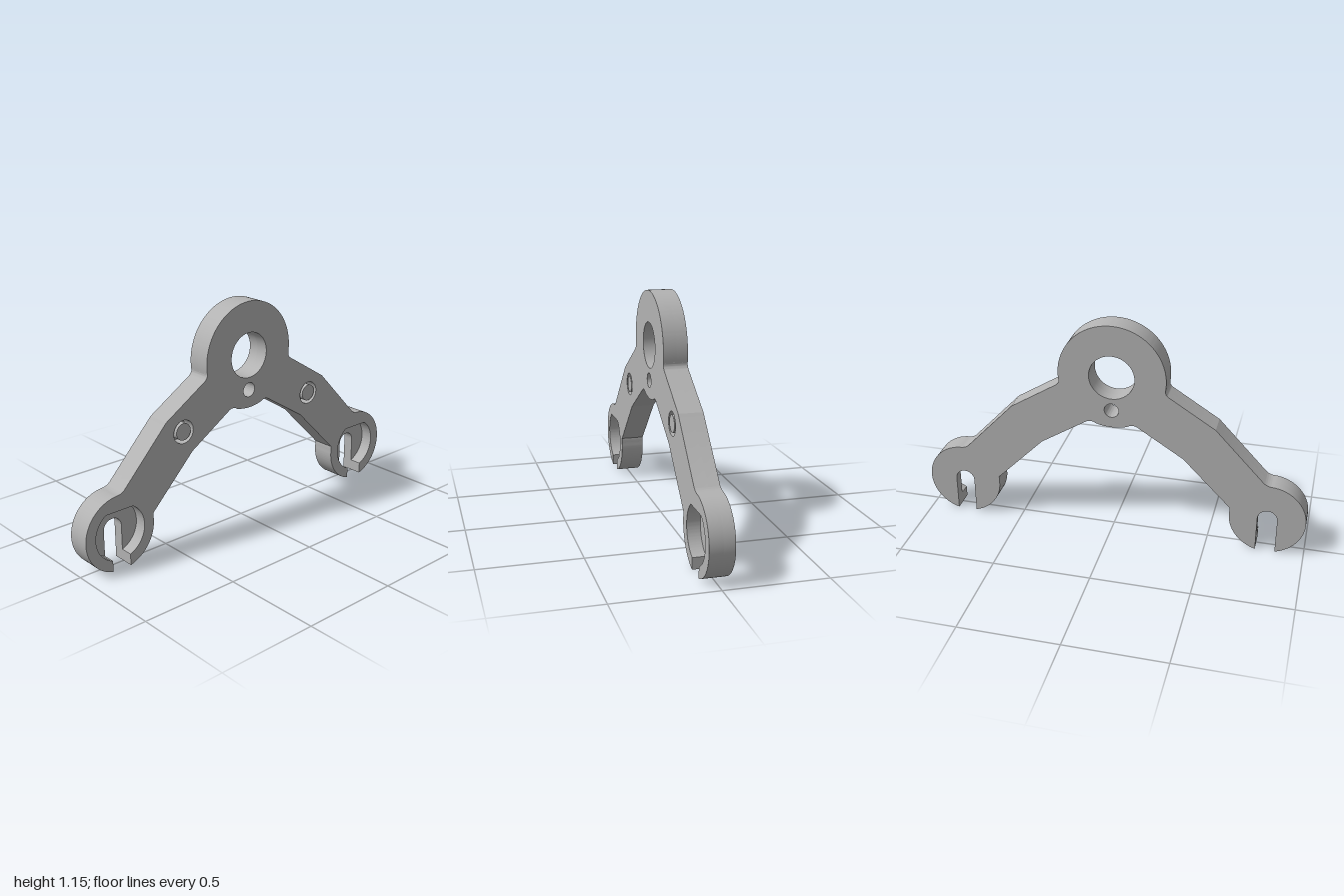
import * as THREE from 'three';
import { toCreasedNormals } from 'three/addons/utils/BufferGeometryUtils.js';

const HUB = { x: 0, y: 0.885, r: 0.272 };
const END = { x: 0.805, y: 0.19, r: 0.193 };
const SLOT = 0.05;                 // half width of the open slot
const POCKET = 0.138, POCKET_TOP = 0.305;
const BACK = -0.06, FLOOR = -0.005, FRONT = 0.06;
const rad = THREE.MathUtils.degToRad;

// Full mirrored outline; the end cutout is either the narrow slot or the wide pocket
function outline(withPocket) {
  const p = new THREE.Path();
  const slotAngle = Math.acos(SLOT / END.r);
  p.moveTo(0, HUB.y - HUB.r);
  p.absarc(HUB.x, HUB.y, HUB.r, rad(-90), rad(-73), false);
  p.quadraticCurveTo(0.107, 0.642, 0.13, 0.629);
  p.lineTo(0.367, 0.48);
  p.lineTo(0.613, 0.231);
  p.quadraticCurveTo(0.612, 0.222, 0.6127, 0.207);
  p.absarc(END.x, END.y, END.r, rad(175), Math.PI + slotAngle, false);
  if (withPocket) {
    const low = Math.acos(SLOT / POCKET);
    const high = Math.asin((POCKET_TOP - END.y) / POCKET);
    p.absarc(END.x, END.y, POCKET, Math.PI + low, Math.PI - high, true);
    p.absarc(END.x, END.y, POCKET, high, -low, true);
  } else {
    p.absarc(END.x, END.y, SLOT, Math.PI, 0, true);
  }
  p.absarc(END.x, END.y, END.r, -slotAngle, rad(85), false);
  p.quadraticCurveTo(0.795, 0.382, 0.775, 0.398);
  p.lineTo(0.522, 0.665);
  p.lineTo(0.29, 0.81);
  p.quadraticCurveTo(0.265, 0.825, 0.2694, 0.847);
  p.absarc(HUB.x, HUB.y, HUB.r, rad(-8), rad(90), false);
  const half = p.getPoints(24);
  const mirrored = half.slice(1, -1).reverse().map(v => new THREE.Vector2(-v.x, v.y));
  return new THREE.Shape([...half, ...mirrored]);
}

function circle(x, y, r, Type = THREE.Path) {
  return new Type().absarc(x, y, r, 0, Math.PI * 2, false);
}

function plate(name, shape, z0, z1, material) {
  const geo = new THREE.ExtrudeGeometry(shape, { depth: z1 - z0, bevelEnabled: false, curveSegments: 32 });
  geo.translate(0, 0, z0);
  const mesh = new THREE.Mesh(toCreasedNormals(geo, 0.22), material);
  mesh.name = name;
  return mesh;
}

export function createModel() {
  const group = new THREE.Group();
  group.name = 'bracket';
  const metal = new THREE.MeshStandardMaterial({ color: 0xb3b3b3 });
  metal.name = 'grey metal';

  // Back and front layers share the bore and the small pin hole
  const back = outline(false), front = outline(true);
  for (const s of [back, front]) {
    s.holes.push(circle(0, HUB.y, 0.115), circle(0, 0.706, 0.037));
  }
  // Ring grooves on the arms, each around a flush core
  for (const side of [-1, 1]) {
    front.holes.push(circle(side * 0.42, 0.592, 0.059));
    group.add(plate(side > 0 ? 'leftGrooveCore' : 'rightGrooveCore',
      circle(side * 0.42, 0.592, 0.043, THREE.Shape), FLOOR, FRONT, metal));
  }
  group.add(plate('backPlate', back, BACK, FLOOR, metal));
  group.add(plate('frontPlate', front, FLOOR, FRONT, metal));
  return group;
}
